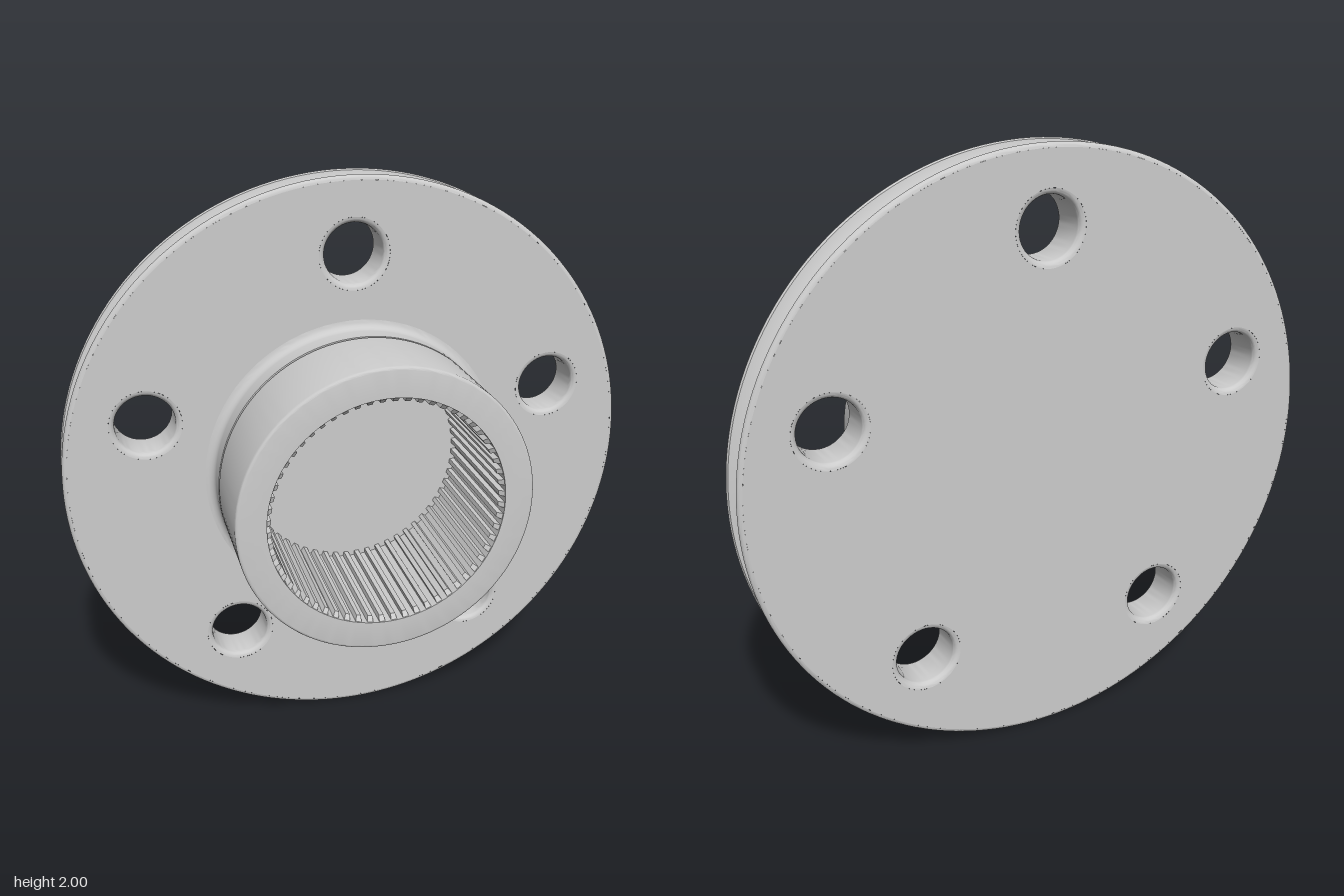
import * as THREE from 'three';
import { mergeGeometries, toCreasedNormals } from 'three/addons/utils/BufferGeometryUtils.js';

const BACK = -0.275, FACE = -0.128, FRONT = 0.275, FLOOR = -0.2;
const MID = (BACK + FACE) / 2;
const HOLES = 5, HOLE_R = 0.1, HOLE_RING = 0.75, FILLET = 0.02;
const RIM = 0.985, HUB = 0.5, BORE = 0.4, HUB_FOOT = 0.53;

export function createModel() {
  const group = new THREE.Group();
  const material = new THREE.MeshStandardMaterial({ color: 0xcccccc });

  const add = (name, geometry) => {
    const mesh = new THREE.Mesh(geometry, material);
    mesh.name = name;
    group.add(mesh);
    return mesh;
  };
  // Revolve [radius, z] pairs about the z axis
  const revolve = (points, segments = 128) => {
    const lathe = new THREE.LatheGeometry(points.map(([r, z]) => new THREE.Vector2(r, z)), segments);
    return toCreasedNormals(lathe.rotateX(Math.PI / 2), 0.5);
  };
  // Quarter-round points in [radius, z]
  const arc = (r, z, size, from, to, steps = 5) => Array.from({ length: steps + 1 }, (_, i) => {
    const a = from + (to - from) * i / steps;
    return [r + size * Math.cos(a), z + size * Math.sin(a)];
  });
  const holeCentres = Array.from({ length: HOLES }, (_, i) => {
    const a = Math.PI / 2 + i * 2 * Math.PI / HOLES;
    return [HOLE_RING * Math.cos(a), HOLE_RING * Math.sin(a)];
  });

  // Flat flange faces with bolt holes
  const flangeFace = (innerRadius) => {
    const shape = new THREE.Shape().absarc(0, 0, RIM, 0, Math.PI * 2);
    const cut = (x, y, r) => shape.holes.push(new THREE.Path().absarc(x, y, r, 0, Math.PI * 2, true));
    holeCentres.forEach(([x, y]) => cut(x, y, HOLE_R + FILLET));
    if (innerRadius) cut(0, 0, innerRadius);
    return new THREE.ShapeGeometry(shape, 64);
  };
  add('flangeFront', flangeFace(HUB_FOOT).translate(0, 0, FACE));
  add('flangeBack', flangeFace(0).rotateY(Math.PI).translate(0, 0, BACK));

  // Bolt hole walls with rounded mouths
  const wall = revolve([
    ...arc(HOLE_R + FILLET, FACE - FILLET, FILLET, Math.PI / 2, Math.PI),
    ...arc(HOLE_R + FILLET, BACK + FILLET, FILLET, Math.PI, Math.PI * 1.5),
  ], 48);
  holeCentres.forEach(([x, y], i) => add(`boltHole${i + 1}`, wall).position.set(x, y, 0));

  // Rim: two lips, two grooves and a central ridge, mirrored about the mid-plane
  const half = [
    ...arc(RIM, BACK + 0.015, 0.015, -Math.PI / 2, 0, 4),
    [0.996, BACK + 0.023], [0.968, BACK + 0.03], [0.945, BACK + 0.048], [0.945, BACK + 0.053],
    [0.963, MID - 0.011],
  ];
  add('rim', revolve([...half, ...half.map(([r, z]) => [r, 2 * MID - z]).reverse()], 160));

  // Beading along the ridge
  const beads = [];
  for (let i = 0, n = 240; i < n; i++) {
    const bead = new THREE.SphereGeometry(0.0115, 8, 6);
    beads.push(bead.translate(0.963, 0, MID).rotateZ(i * 2 * Math.PI / n));
  }
  add('rimBeading', mergeGeometries(beads));

  // Hub: filleted foot, retaining groove, rounded end and blind bore
  add('hub', revolve([
    ...arc(HUB_FOOT, FACE + 0.03, 0.03, Math.PI * 1.5, Math.PI),
    [HUB, -0.036], [HUB - 0.01, -0.036], [HUB - 0.01, -0.024], [HUB, -0.024],
    ...arc(HUB - 0.01, FRONT - 0.01, 0.01, 0, Math.PI / 2, 4),
    [BORE, FRONT], [BORE, FLOOR], [0, FLOOR],
  ]));

  // Internal splines with sloped front ends
  const splines = [];
  const depth = 0.018, width = 0.021, length = FRONT - 0.004 - FLOOR;
  for (let i = 0, n = 60; i < n; i++) {
    const spline = new THREE.BoxGeometry(depth, width, length);
    const p = spline.attributes.position;
    for (let k = 0; k < p.count; k++) {
      if (p.getX(k) > 0) continue;
      p.setY(k, p.getY(k) * 0.75);
      if (p.getZ(k) > 0) p.setZ(k, p.getZ(k) - 0.015);
    }
    spline.computeVertexNormals();
    splines.push(spline.translate(BORE - depth / 2 + 0.001, 0, FLOOR + length / 2)
      .rotateZ((i + 0.5) * 2 * Math.PI / n));
  }
  add('boreSplines', mergeGeometries(splines));

  group.children.forEach((mesh) => { mesh.position.y += 1; });
  return group;
}
